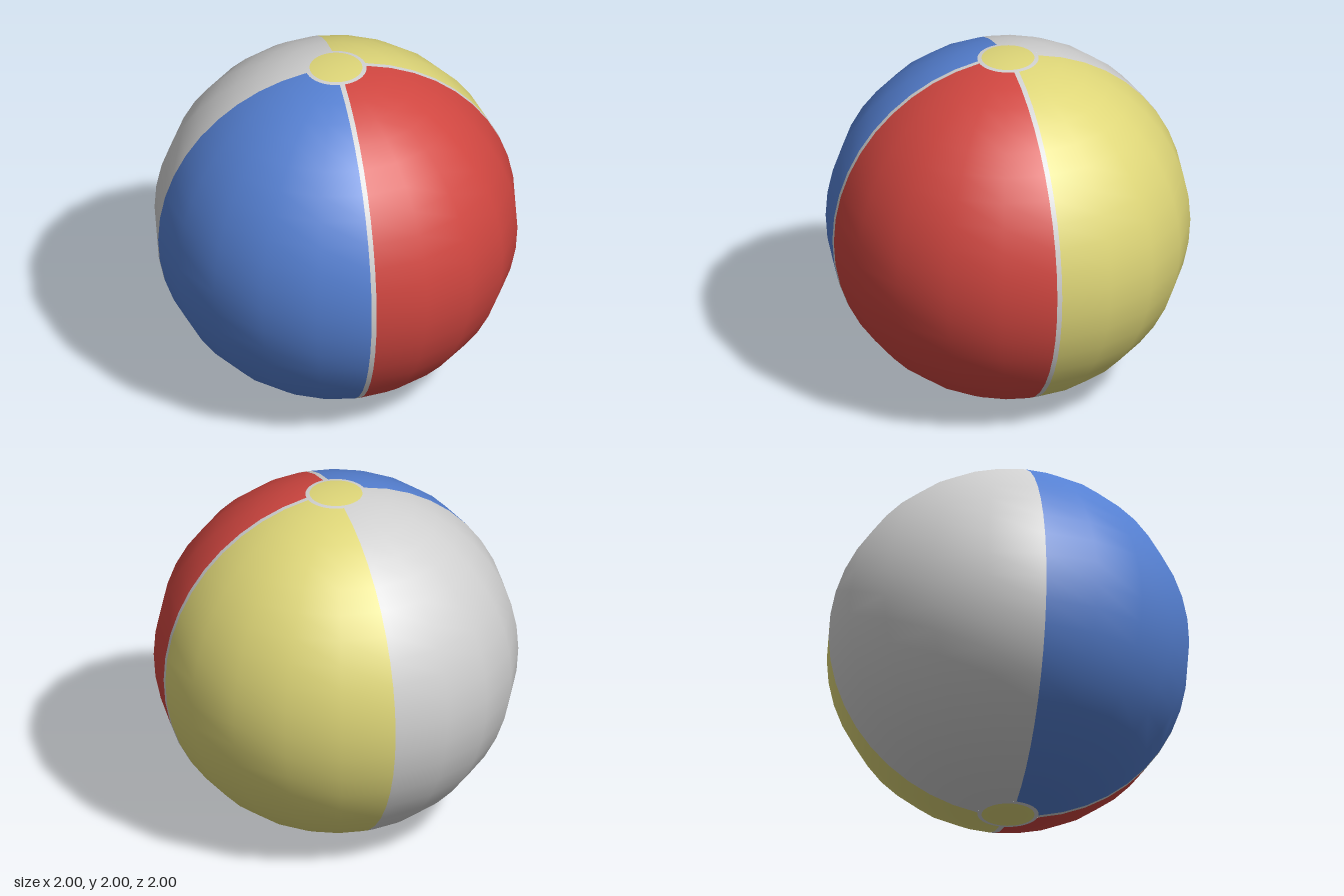
import * as THREE from 'three';

const R = 1, STEP = Math.PI / 10, HALF_SEAM = 0.014;
const CAP = Math.asin(0.145), RING = Math.asin(0.168);

const paint = (name, color) => {
  const m = new THREE.MeshStandardMaterial({ color });
  m.name = name;
  return m;
};

// Smooth spherical patch: polar angles t0..t1, azimuths listed by columns(t)
function patch(name, material, t0, t1, rows, columns) {
  const pos = [], nor = [], idx = [];
  const n = columns(t0).length;
  for (let i = 0; i <= rows; i++) {
    const t = t0 + (t1 - t0) * i / rows;
    for (const a of columns(t)) {
      const d = [Math.sin(t) * Math.cos(a), Math.cos(t), Math.sin(t) * Math.sin(a)];
      nor.push(...d);
      pos.push(d[0] * R, d[1] * R + R, d[2] * R);
    }
  }
  for (let i = 0; i < rows; i++) {
    for (let j = 0; j < n - 1; j++) {
      const a = i * n + j, b = a + 1, c = a + n, d = c + 1;
      idx.push(a, b, c, b, d, c);
    }
  }
  const g = new THREE.BufferGeometry();
  g.setAttribute('position', new THREE.Float32BufferAttribute(pos, 3));
  g.setAttribute('normal', new THREE.Float32BufferAttribute(nor, 3));
  g.setIndex(idx);
  const mesh = new THREE.Mesh(g, material);
  mesh.name = name;
  return mesh;
}

export function createModel() {
  const ball = new THREE.Group();
  ball.name = 'beachBall';
  const blue = paint('blue', 0x5580d2), red = paint('red', 0xd04640);
  const yellow = paint('yellow', 0xded678), white = paint('white', 0xd0d0d0);

  // Four gores, each followed by the narrow seam at its starting edge
  const gores = [['front', blue], ['right', white], ['back', yellow], ['left', red]];
  gores.forEach(([side, material], k) => {
    const start = (2 + 5 * k) * STEP * 1;
    const inset = t => HALF_SEAM / Math.sin(t);
    ball.add(patch(side + 'Panel', material, RING, Math.PI - RING, 20, t =>
      [0, 1, 2, 3, 4, 5].map(j =>
        start + j * Math.PI / 10 + (j === 0 ? inset(t) : j === 5 ? -inset(t) : 0))));
    ball.add(patch(side + 'Seam', white, RING, Math.PI - RING, 20, t =>
      [start - inset(t), start, start + inset(t)]));
  });

  // End caps and the rings round them
  const circle = () => Array.from({ length: 41 }, (_, j) => j * Math.PI / 20);
  ball.add(patch('topCap', yellow, 0, CAP, 2, circle));
  ball.add(patch('topRing', white, CAP, RING, 1, circle));
  ball.add(patch('bottomRing', white, Math.PI - RING, Math.PI - CAP, 1, circle));
  ball.add(patch('bottomCap', yellow, Math.PI - CAP, Math.PI, 2, circle));
  return ball;
}
